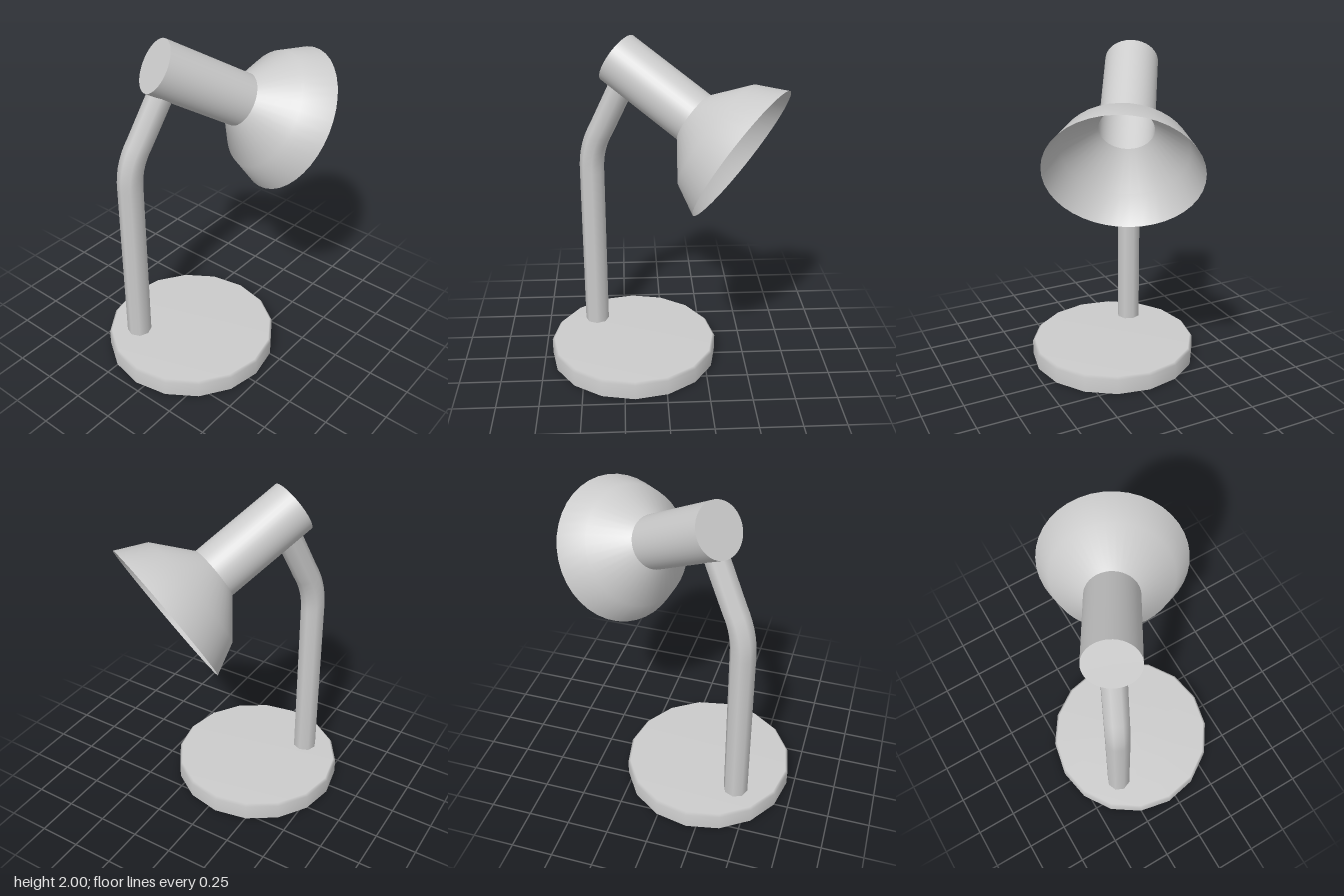
import * as THREE from 'three';

const material = new THREE.MeshStandardMaterial({ color: 0xcccccc, side: THREE.DoubleSide });

function addMesh(parent, name, geometry) {
  const mesh = new THREE.Mesh(geometry, material);
  mesh.name = name;
  parent.add(mesh);
  return mesh;
}

// Open surface of revolution around y from [radius, height] pairs
function lathe(profile, segments) {
  return new THREE.LatheGeometry(profile.map(([r, y]) => new THREE.Vector2(r, y)), segments);
}

export function createModel() {
  const lamp = new THREE.Group();
  lamp.name = 'deskLamp';

  // Hollow foot, open underneath, with a small bevel at the top edge
  const base = addMesh(lamp, 'base', lathe([[0.515, 0], [0.515, 0.095], [0.5, 0.11], [0, 0.11]], 16));
  base.position.set(-0.055, 0, 0.19);

  // Stem: straight post, soft bend, then a lean into the lamp head
  const foot = new THREE.Vector3(-0.285, 0.1, 0.425);
  const bendStart = new THREE.Vector3(-0.285, 1.17, 0.425);
  const bendControl = new THREE.Vector3(-0.285, 1.31, 0.425);
  const bendEnd = new THREE.Vector3(-0.255, 1.43, 0.36);
  const tip = new THREE.Vector3(-0.19, 1.735, 0.222);
  const path = new THREE.CurvePath();
  path.add(new THREE.LineCurve3(foot, bendStart));
  path.add(new THREE.QuadraticBezierCurve3(bendStart, bendControl, bendEnd));
  path.add(new THREE.LineCurve3(bendEnd, tip));
  addMesh(lamp, 'stem', new THREE.TubeGeometry(path, 40, 0.074, 8));

  const stemCap = addMesh(lamp, 'stemCap', new THREE.CircleGeometry(0.074, 8));
  stemCap.position.copy(tip);
  stemCap.quaternion.setFromUnitVectors(
    new THREE.Vector3(0, 0, 1), tip.clone().sub(bendEnd).normalize());

  // Head: local +y runs from the closed end towards the shade opening
  const head = new THREE.Group();
  head.name = 'head';
  head.position.set(-0.215, 1.866, 0.257);
  head.quaternion.setFromUnitVectors(
    new THREE.Vector3(0, 1, 0), new THREE.Vector3(0.433, -0.5, -0.75).normalize());
  lamp.add(head);

  const radius = 0.155, length = 0.567;
  addMesh(head, 'socketTube', lathe([[radius, 0], [radius, length]], 40));
  addMesh(head, 'socketCap', new THREE.CircleGeometry(radius, 40).rotateX(Math.PI / 2));
  addMesh(head, 'shade', lathe([[radius, length], [0.35, 0.733], [0.433, 0.905]], 40));

  return lamp;
}
